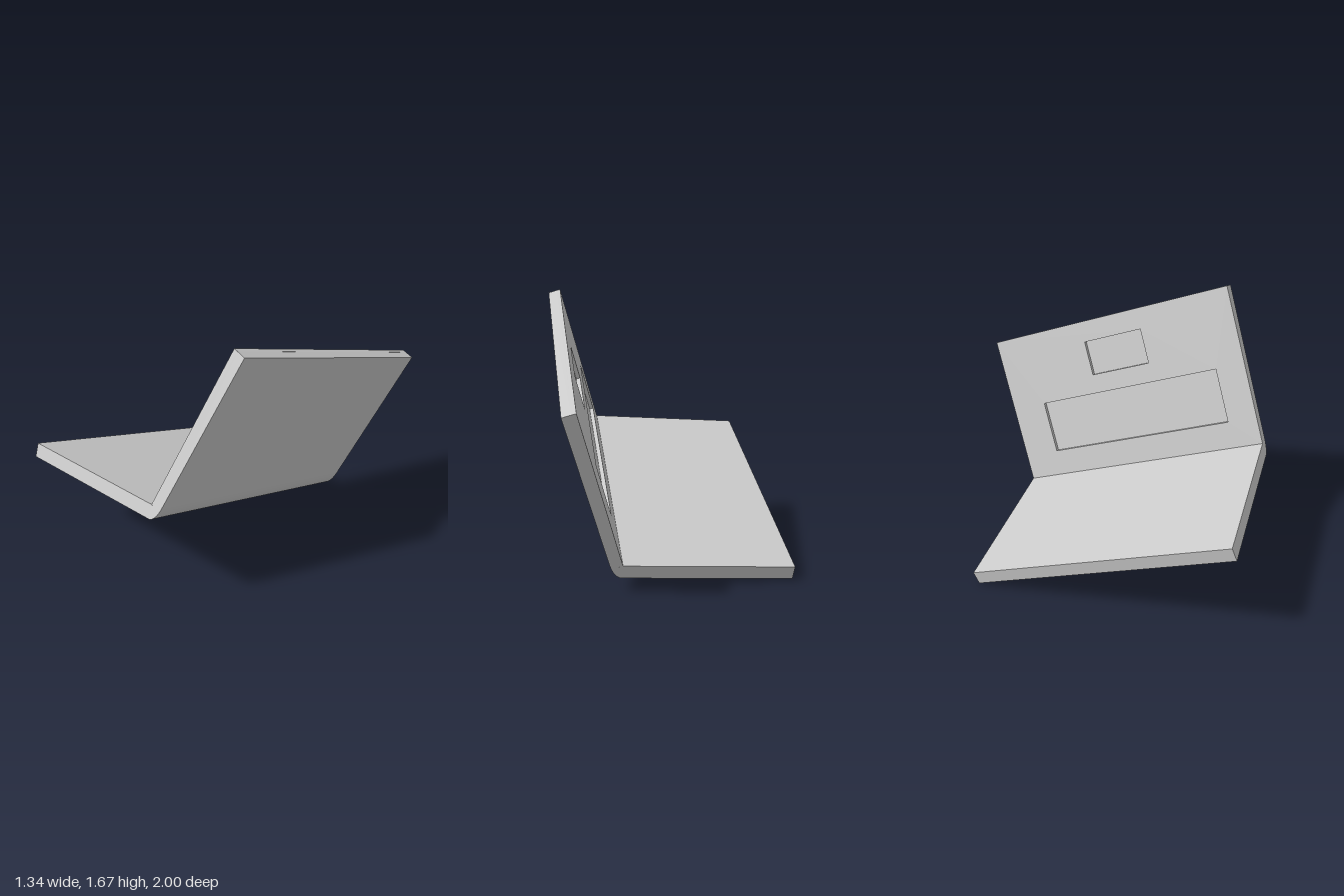
import * as THREE from 'three';
import { toCreasedNormals } from 'three/addons/utils/BufferGeometryUtils.js';

const Z0 = -0.545, Z1 = 1.163;          // ends of the hinge line
const RECESS = 0.025;                   // depth of keyboard and touchpad wells
const HINGE = [0.325, 0.373];           // inner hinge corner in the side profile
const TIP = [0.59, 1.338];              // inner free edge of the base

const material = new THREE.MeshStandardMaterial({ color: 0xcccccc });

function extrude(name, shape, depth) {
  const geo = new THREE.ExtrudeGeometry(shape, { depth, bevelEnabled: false, curveSegments: 10 });
  const mesh = new THREE.Mesh(toCreasedNormals(geo, 0.6), material);
  mesh.name = name;
  return mesh;
}

function rect(Type, x0, y0, x1, y1) {
  return new Type([[x0, y0], [x1, y0], [x1, y1], [x0, y1]].map(p => new THREE.Vector2(...p)));
}

export function createModel() {
  const model = new THREE.Group();
  model.name = 'openLaptop';

  // everything is built along the hinge line, then pitched as one piece
  const body = new THREE.Group();
  body.name = 'laptopBody';
  body.rotation.x = -0.377;
  model.add(body);

  // screen lid, lying nearly flat
  const lid = new THREE.Shape([[-0.667, 0.216], [0.325, 0.288], HINGE, [-0.672, 0.302]]
    .map(p => new THREE.Vector2(...p)));

  // base shell, standing steeply, with a rounded hinge corner
  const shell = new THREE.Shape();
  shell.moveTo(0.325, 0.288);
  shell.quadraticCurveTo(0.375, 0.29, 0.405, 0.4);
  shell.lineTo(0.665, 1.315);
  shell.lineTo(0.614, 1.331);
  shell.lineTo(0.349, 0.366);
  shell.lineTo(...HINGE);

  for (const [name, shape] of [['screenLid', lid], ['baseShell', shell]]) {
    const part = extrude(name, shape, Z1 - Z0);
    part.position.z = Z0;
    body.add(part);
  }

  // top deck of the base, with openings for the wells
  const along = new THREE.Vector3(TIP[0] - HINGE[0], TIP[1] - HINGE[1], 0);
  const length = along.length();
  along.normalize();
  const deckShape = rect(THREE.Shape, 0, Z0, length, Z1);
  deckShape.holes.push(
    rect(THREE.Path, 0.17, -0.297, 0.515, 0.975),   // keyboard well
    rect(THREE.Path, 0.64, 0.128, 0.865, 0.541),    // touchpad well
  );
  const deck = extrude('keyboardDeck', deckShape, RECESS);
  const hingeAxis = new THREE.Vector3(0, 0, 1);
  const inward = new THREE.Vector3().crossVectors(along, hingeAxis);
  deck.quaternion.setFromRotationMatrix(new THREE.Matrix4().makeBasis(along, hingeAxis, inward));
  deck.position.set(HINGE[0], HINGE[1], 0);
  body.add(deck);

  return model;
}
